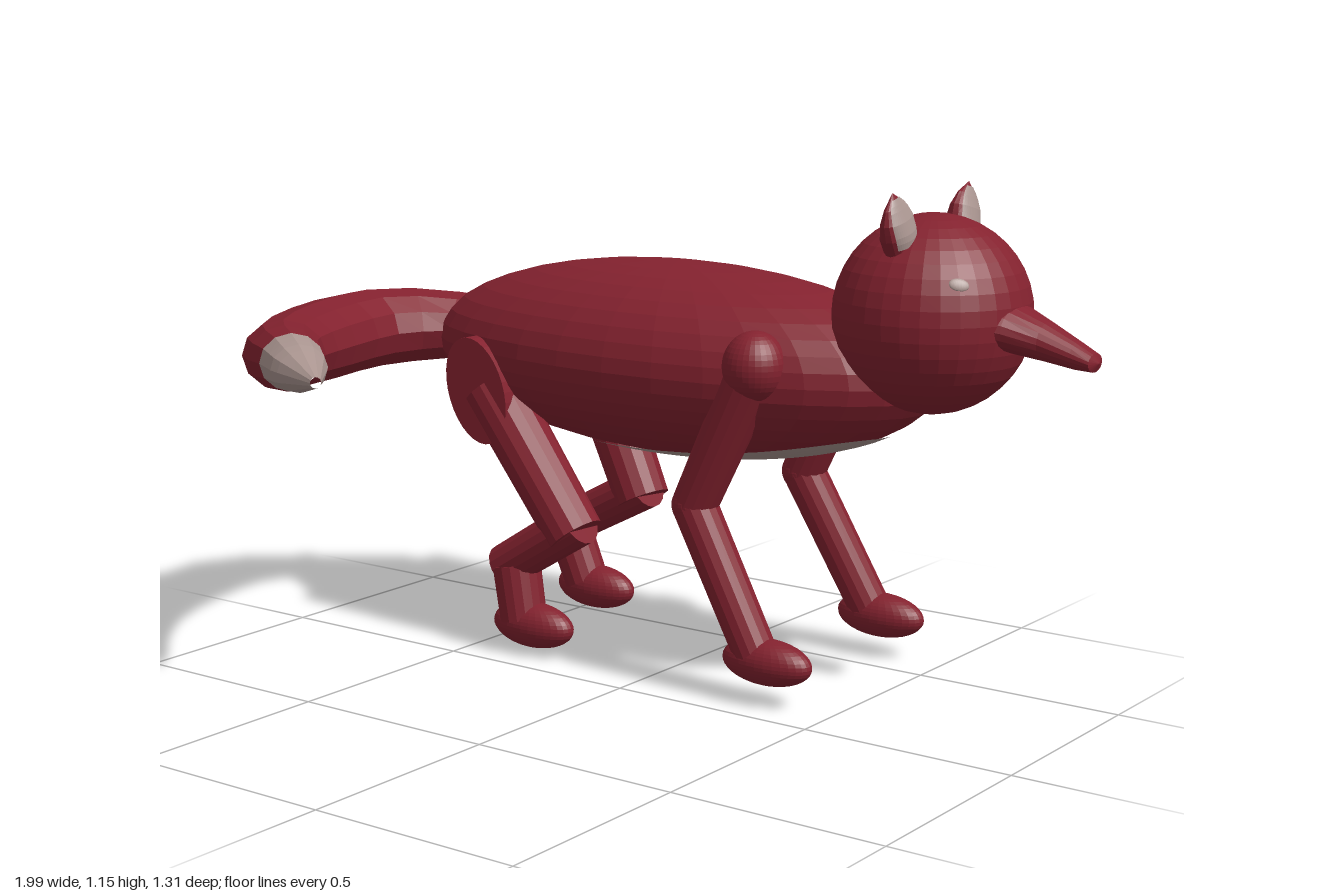
import * as THREE from 'three';

const V = (x, y, z) => new THREE.Vector3(x, y, z);
const MID = -0.335; // z of the body's plane of symmetry

// Skin a grid of points: rows along the part, columns around it
function skin(rows, cols, fn) {
  const pos = [], idx = [];
  for (let i = 0; i <= rows; i++)
    for (let j = 0; j <= cols; j++) pos.push(...fn(i / rows, j / cols).toArray());
  for (let i = 0; i < rows; i++)
    for (let j = 0; j < cols; j++) {
      const a = i * (cols + 1) + j, b = a + cols + 1;
      idx.push(a, a + 1, b + 1, a, b + 1, b);
    }
  const g = new THREE.BufferGeometry();
  g.setAttribute('position', new THREE.Float32BufferAttribute(pos, 3));
  g.setIndex(idx);
  g.computeVertexNormals();
  return g;
}

// Piecewise-linear lookup in a list of equally spaced rows
function lookup(list, t) {
  const f = Math.min(t, 0.99999) * (list.length - 1), i = Math.floor(f);
  return list[i].map((v, k) => v + (list[i + 1][k] - v) * (f - i));
}

export function createModel() {
  const red = new THREE.MeshStandardMaterial({ color: 0x84222f, flatShading: true });
  red.name = 'russet fur';
  const pale = new THREE.MeshStandardMaterial({ color: 0xab9691, flatShading: true });
  pale.name = 'pale fur';

  const model = new THREE.Group();
  model.name = 'fox';
  const add = (name, geo, mat = red, parent = model) => {
    const m = new THREE.Mesh(geo, mat);
    m.name = name;
    parent.add(m);
    return m;
  };
  const ellipsoid = (name, p, r, mat = red, parent = model) => {
    const m = add(name, new THREE.SphereGeometry(1, 32, 20), mat, parent);
    m.position.copy(p);
    m.scale.copy(r);
    return m;
  };
  const limb = (name, a, b, r0, r1, parent) => {
    const d = b.clone().sub(a);
    const m = add(name, new THREE.CylinderGeometry(r1, r0, d.length(), 16), red, parent);
    m.position.copy(a).addScaledVector(d, 0.5);
    m.quaternion.setFromUnitVectors(V(0, 1, 0), d.normalize());
    return m;
  };

  // Body and pale belly patch following its curve
  const c = V(-0.08, 0.72, MID), r = V(0.69, 0.225, 0.3);
  ellipsoid('body', c, r);
  add('belly', skin(10, 40, (u, v) => {
    const a = v * Math.PI * 2, ca = Math.cos(a), sa = Math.sin(a);
    const x = 0.08 + 0.42 * u * Math.sign(ca) * Math.abs(ca) ** 0.75;
    const z = -0.155 * u * Math.sign(sa) * Math.abs(sa) ** 0.75;
    const k = 1 - ((x - c.x) / r.x) ** 2 - (z / r.z) ** 2;
    return V(x, c.y - r.y * Math.sqrt(Math.max(k, 0)) - 0.005, MID + z);
  }), pale);

  // Head
  const head = V(0.6, 0.88, MID);
  ellipsoid('head', head, V(0.22, 0.22, 0.22));

  // Snout: x, centre y, half height, half width
  const snout = [[0.74, 0.878, 0.06, 0.115], [0.81, 0.865, 0.052, 0.085], [0.88, 0.845, 0.042, 0.056],
    [0.95, 0.822, 0.03, 0.04], [0.99, 0.81, 0.02, 0.033], [1, 0.81, 0, 0]];
  add('snout', skin(5, 20, (u, v) => {
    const [x, y, h, w] = lookup(snout, u), a = v * Math.PI * 2;
    return V(x, y + h * Math.sin(a), MID - w * Math.cos(a));
  }));

  // Ears and eyes; ear rows are height, half width, half depth
  const ear = [[0, 0.04, 0.03], [0.035, 0.05, 0.034], [0.07, 0.05, 0.026], [0.1, 0.036, 0.014], [0.13, 0, 0]];
  const earSkin = (u0, u1, v0, v1, out) => skin(8, 16, (u, v) => {
    const [y, w, d] = lookup(ear, u0 + (u1 - u0) * u);
    const a = (v0 + (v1 - v0) * v) * Math.PI * 2;
    return V((d + out) * Math.sin(a), y, (w + out) * Math.cos(a));
  });
  for (const s of [1, -1]) {
    const g = new THREE.Group();
    g.name = s > 0 ? 'nearEar' : 'farEar';
    g.position.set(0.59, 1.03, MID + s * 0.13);
    g.rotation.x = s * 0.28;
    add('earShell', earSkin(0, 1, 0, 1, 0), red, g);
    add('innerEar', earSkin(0.1, 0.9, 0.1, 0.4, 0.003), pale, g);
    model.add(g);

    const n = V(0.146, 0.093, s * 0.146).normalize();
    const eye = ellipsoid('eye', head.clone().addScaledVector(n, 0.218), V(0.022, 0.014, 0.005), pale);
    eye.quaternion.setFromUnitVectors(V(0, 0, 1), n);
  }

  // Legs
  for (const s of [1, -1]) {
    const side = s > 0 ? 'near' : 'far';
    const front = new THREE.Group();
    front.name = side + 'FrontLeg';
    model.add(front);
    const shoulder = V(0.285, 0.76, MID + s * 0.222), elbow = V(0.13, 0.43, MID + s * 0.228);
    const paw = V(0.33, 0.097, s > 0 ? -0.107 : -0.6);
    const wrist = V(0.3, 0.11, paw.z);
    ellipsoid('shoulder', shoulder, V(0.073, 0.08, 0.073), red, front);
    limb('upperLeg', shoulder, elbow, 0.06, 0.052, front);
    ellipsoid('elbow', elbow, V(0.052, 0.052, 0.052), red, front);
    limb('lowerLeg', elbow, wrist, 0.052, 0.05, front);
    ellipsoid('paw', paw, V(0.115, 0.053, 0.053), red, front);

    const hind = new THREE.Group();
    hind.name = side + 'HindLeg';
    model.add(hind);
    const near = s > 0;
    const hip = V(-0.475, 0.63, MID + s * 0.205);
    const knee = near ? V(-0.22, 0.305, -0.12) : V(-0.31, 0.31, -0.51);
    const ankle = near ? V(-0.43, 0.2, -0.115) : V(-0.59, 0.19, -0.525);
    const foot = near ? V(-0.34, 0.07, -0.11) : V(-0.47, 0.056, -0.528);
    const disc = add('haunch', new THREE.CylinderGeometry(1, 1, 1, 32).rotateX(Math.PI / 2), red, hind);
    disc.position.copy(hip).setZ(MID + s * 0.205);
    disc.scale.set(0.085, 0.13, 0.13);
    disc.rotation.z = 0.35;
    limb('thigh', hip, knee, 0.075, 0.068, hind);
    const kneeIn = knee.clone().add(V(0.015, 0.035, 0));
    limb('shin', kneeIn, ankle, 0.056, 0.053, hind);
    limb('hock', ankle.clone().add(V(0.035, 0.01, 0)), foot.clone().add(V(-0.03, 0.01, 0)), 0.058, 0.056, hind);
    ellipsoid('foot', foot, V(0.115, 0.055, 0.052), red, hind);
  }

  // Tail curling round to the near side; radii are half width, half height
  const curve = new THREE.CatmullRomCurve3([V(-0.62, 0.73, -0.37), V(-0.78, 0.735, -0.29), V(-0.872, 0.735, -0.13),
    V(-0.83, 0.735, 0.1), V(-0.72, 0.745, 0.32), V(-0.515, 0.772, 0.505), V(-0.31, 0.77, 0.648)]);
  const radii = [[0.08, 0.07], [0.11, 0.085], [0.122, 0.097], [0.118, 0.097], [0.112, 0.095],
    [0.105, 0.088], [0.092, 0.08], [0.076, 0.07], [0.062, 0.052], [0.012, 0.012]];
  const cut = 0.81;
  const tailSkin = (rows, u0, u1) => skin(rows, 12, (u, v) => {
    const t = u0 + (u1 - u0) * u, a = v * Math.PI * 2;
    const [w, h] = lookup(radii, t);
    const across = V(0, 1, 0).cross(curve.getTangentAt(t)).normalize();
    const p = curve.getPointAt(t).addScaledVector(across, w * Math.cos(a));
    p.y += h * Math.sin(a);
    return p;
  });
  add('tail', tailSkin(9, 0, cut));
  add('tailTip', tailSkin(8, cut, 1), pale);

  return model;
}
